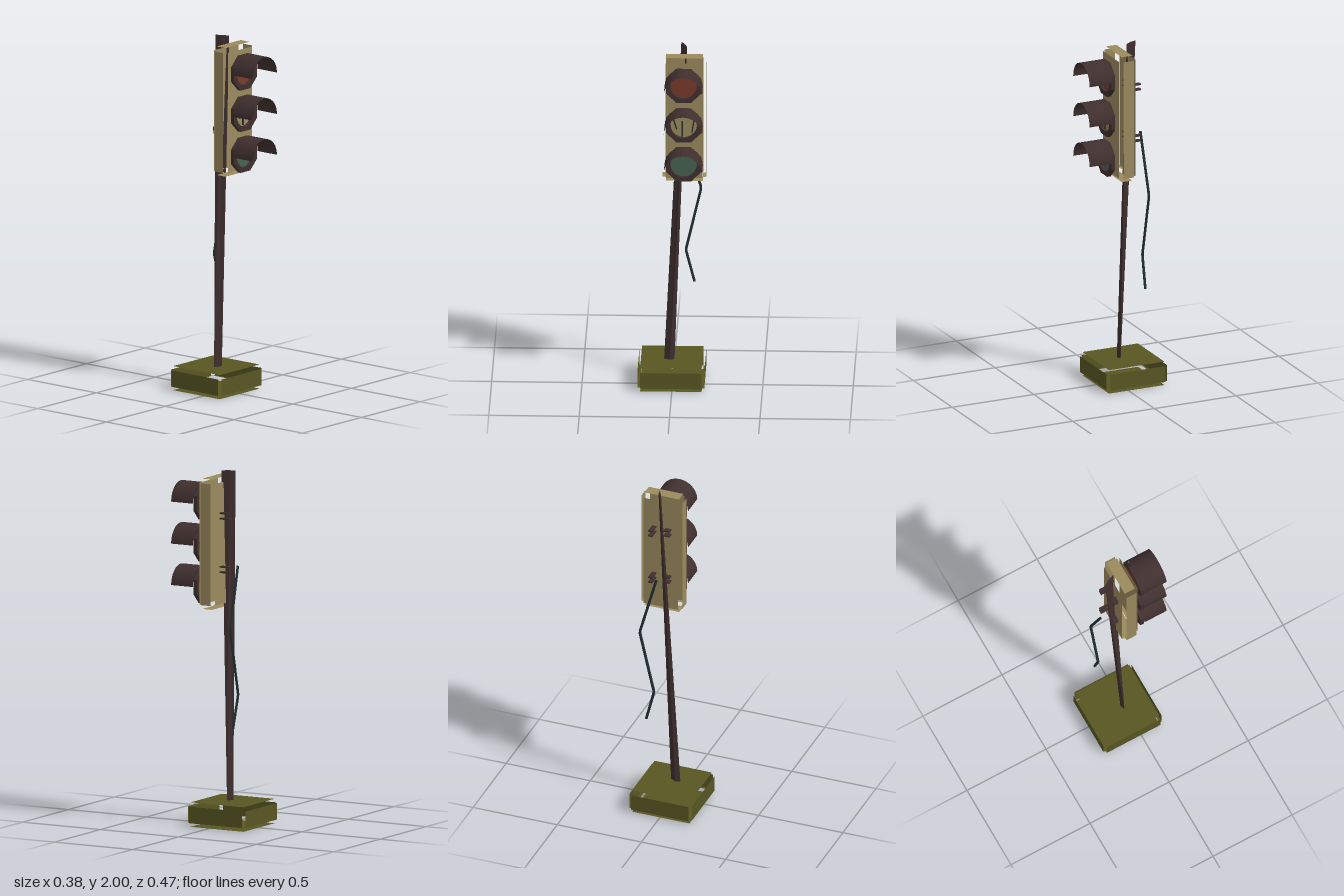
import * as THREE from 'three';

const mat = (name, color) => {
  const m = new THREE.MeshStandardMaterial({ color, side: THREE.DoubleSide });
  m.name = name;
  return m;
};

export function createModel() {
  const tan = mat('housingTan', 0x9b8a5e);
  const olive = mat('baseOlive', 0x585622);
  const brown = mat('darkBrown', 0x402f2f);
  const red = mat('lensRed', 0x7a3a2b);
  const green = mat('lensGreen', 0x466352);
  const teal = mat('cableTeal', 0x223031);

  const root = new THREE.Group();
  root.name = 'trafficLight';

  const add = (parent, name, geo, material, x = 0, y = 0, z = 0) => {
    const m = new THREE.Mesh(geo, material);
    m.name = name;
    m.position.set(x, y, z);
    parent.add(m);
    return m;
  };

  // Case of six separate sheets, inset from the corners, with narrow lower ledges
  function sheetCase(name, min, max, inset, material) {
    const g = new THREE.Group();
    g.name = name;
    const c = min.map((v, i) => (v + max[i]) / 2);
    const s = min.map((v, i) => max[i] - v - 2 * inset[i]);
    for (const end of [0, 1]) {
      const at = end ? max : min;
      const dir = end ? 1 : -1;
      add(g, end ? 'frontSheet' : 'backSheet', new THREE.PlaneGeometry(s[0], s[1]), material, c[0], c[1], at[2])
        .rotation.y = end ? 0 : Math.PI;
      add(g, end ? 'leftSheet' : 'rightSheet', new THREE.PlaneGeometry(s[2], s[1]), material, at[0], c[1], c[2])
        .rotation.y = dir * Math.PI / 2;
      add(g, end ? 'topSheet' : 'bottomSheet', new THREE.PlaneGeometry(s[0], s[2]), material, c[0], at[1], c[2])
        .rotation.x = -dir * Math.PI / 2;
      const low = min[1] + inset[1];
      add(g, 'sideLedge', new THREE.PlaneGeometry(inset[0], s[2]), material, at[0] - dir * inset[0] / 2, low, c[2])
        .rotation.x = -Math.PI / 2;
      add(g, 'endLedge', new THREE.PlaneGeometry(s[0], inset[2]), material, c[0], low, at[2] - dir * inset[2] / 2)
        .rotation.x = -Math.PI / 2;
    }
    root.add(g);
  }
  sheetCase('base', [-0.19, 0.003, -0.235], [0.18, 0.14, 0.134], [0.015, 0.022, 0.015], olive);
  sheetCase('housing', [-0.055, 1.23, -0.04], [0.188, 1.96, 0.06], [0.019, 0.024, 0.018], tan);

  // Leaning, twisted pole lofted between two four-cornered sections [x, z]
  const low = [[-0.048, -0.03], [-0.015, -0.014], [0.01, -0.024], [-0.022, -0.041]];
  const high = [[0.046, -0.1], [0.055, -0.065], [0.08, -0.03], [0.065, -0.075]];
  const pos = [];
  const tri = (...pts) => pts.forEach((p) => pos.push(...p));
  const lo = low.map(([x, z]) => [x, 0.12, z]);
  const hi = high.map(([x, z]) => [x, 2, z]);
  for (let i = 0; i < 4; i++) {
    const j = (i + 1) % 4;
    tri(lo[i], lo[j], hi[j], lo[i], hi[j], hi[i]);
  }
  tri(hi[0], hi[1], hi[2], hi[0], hi[2], hi[3]);
  tri(lo[0], lo[2], lo[1], lo[0], lo[3], lo[2]);
  const poleGeo = new THREE.BufferGeometry();
  poleGeo.setAttribute('position', new THREE.Float32BufferAttribute(pos, 3));
  poleGeo.computeVertexNormals();
  add(root, 'pole', poleGeo, brown);

  // Three lamps: eight-sided bezel, lens and half-round visor
  const bezel = new THREE.Shape();
  for (let i = 0; i < 8; i++) {
    const a = (i + 0.5) * Math.PI / 4;
    bezel[i ? 'lineTo' : 'moveTo'](0.106 * Math.cos(a), 0.106 * Math.sin(a));
  }
  bezel.closePath();
  bezel.holes.push(new THREE.Path().absarc(0, 0, 0.074, 0, Math.PI * 2, true));
  const bezelGeo = new THREE.ExtrudeGeometry(bezel, { depth: 0.022, bevelEnabled: false, curveSegments: 10 });
  const visorGeo = new THREE.CylinderGeometry(0.106, 0.106, 0.14, 12, 1, true, Math.PI / 2, Math.PI);
  visorGeo.rotateX(Math.PI / 2);

  [[1.815, red], [1.58, null], [1.348, green]].forEach(([y, lens], i) => {
    const lamp = new THREE.Group();
    lamp.name = ['topLamp', 'middleLamp', 'bottomLamp'][i];
    lamp.position.set(0.065, y, 0);
    root.add(lamp);
    add(lamp, 'bezel', bezelGeo, brown, 0, 0, 0.08);
    add(lamp, 'visor', visorGeo, brown, 0, 0, 0.17);
    if (lens) {
      add(lamp, 'lens', new THREE.CircleGeometry(0.076, 20), lens, 0, 0, 0.085);
    } else {
      // Broken lens: only a few dark splinters remain
      [[-0.052, 0.02, 0.3], [-0.008, -0.02, 0], [0.052, 0.0, -0.15]].forEach(([x, dy, tilt]) => {
        add(lamp, 'splinter', new THREE.BoxGeometry(0.007, 0.09, 0.006), teal, x, dy, 0.09).rotation.z = tilt;
      });
    }
  });

  // Loose cable hanging behind the housing
  const cable = new THREE.CurvePath();
  const bends = [[0.06, 1.47, -0.123], [0.155, 1.12, -0.131], [0.07, 0.75, -0.131], [0.118, 0.565, -0.126]]
    .map((p) => new THREE.Vector3(...p));
  for (let i = 0; i < 3; i++) cable.add(new THREE.LineCurve3(bends[i], bends[i + 1]));
  add(root, 'cable', new THREE.TubeGeometry(cable, 48, 0.008, 6, false), teal);

  // Small clips on the back of the housing
  for (const y of [1.75, 1.45]) {
    for (const dy of [-0.015, 0.015]) {
      add(root, 'clip', new THREE.BoxGeometry(0.035, 0.008, 0.03), brown, 0.02, y + dy, -0.055);
      add(root, 'clip', new THREE.BoxGeometry(0.025, 0.008, 0.06), brown, 0.105, y + dy, -0.07);
    }
  }
  return root;
}
